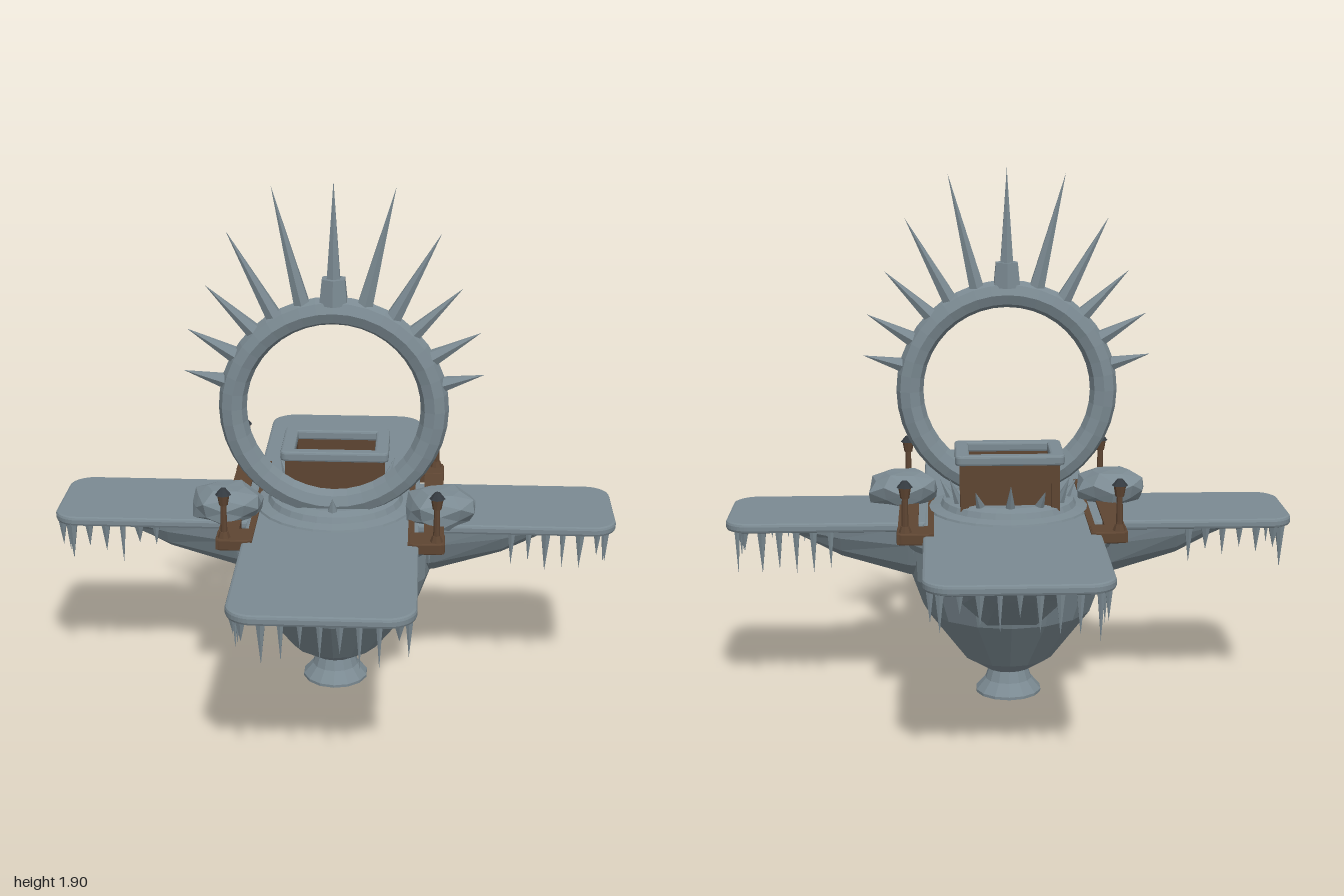
import * as THREE from 'three';

const stone = new THREE.MeshStandardMaterial({ color: 0x7b8a92, flatShading: true, side: THREE.DoubleSide });
stone.name = 'stone';
const wood = new THREE.MeshStandardMaterial({ color: 0x5e4532, flatShading: true });
wood.name = 'wood';
const iron = new THREE.MeshStandardMaterial({ color: 0x343a40, flatShading: true });
iron.name = 'iron';

function add(parent, name, geometry, material, x = 0, y = 0, z = 0) {
  const mesh = new THREE.Mesh(geometry, material);
  mesh.name = name;
  mesh.position.set(x, y, z);
  parent.add(mesh);
  return mesh;
}

function roundedRect(w, d, r) {
  const s = new THREE.Shape();
  const x = w / 2, y = d / 2;
  s.moveTo(-x + r, -y);
  s.lineTo(x - r, -y).absarc(x - r, -y + r, r, -Math.PI / 2, 0);
  s.lineTo(x, y - r).absarc(x - r, y - r, r, 0, Math.PI / 2);
  s.lineTo(-x + r, y).absarc(-x + r, y - r, r, Math.PI / 2, Math.PI);
  s.lineTo(-x, -y + r).absarc(-x + r, -y + r, r, Math.PI, Math.PI * 1.5);
  return s;
}

// Horizontal slab with bevelled edges, optionally with a rectangular hole; base at y = 0
function slab(w, d, h, r, bevel, hole) {
  const s = roundedRect(w - 2 * bevel, d - 2 * bevel, r);
  if (hole) s.holes.push(roundedRect(hole[0] + 2 * bevel, hole[1] + 2 * bevel, 0.005));
  const g = new THREE.ExtrudeGeometry(s, {
    depth: h - 2 * bevel, bevelEnabled: bevel > 0, bevelSize: bevel,
    bevelThickness: bevel, bevelSegments: 2, curveSegments: 5
  });
  return g.translate(0, 0, bevel).rotateX(-Math.PI / 2);
}

// Cone standing from point a to tip b
function spike(parent, name, a, b, radius, sides) {
  const dir = b.clone().sub(a), len = dir.length();
  const g = new THREE.ConeGeometry(radius, len, sides).translate(0, len / 2, 0);
  const m = add(parent, name, g, stone, a.x, a.y, a.z);
  m.quaternion.setFromUnitVectors(new THREE.Vector3(0, 1, 0), dir.normalize());
}

// Keel under an arm: sections [distance, halfWidth, depth] running out along +z
function keelGeometry(sections) {
  const outline = [[-1, 0], [-0.93, 0.35], [-0.72, 0.75], [-0.36, 1], [0.36, 1], [0.72, 0.75], [0.93, 0.35], [1, 0]];
  const n = outline.length, pos = [], index = [];
  for (const [d, w, h] of sections)
    for (const [u, v] of outline) pos.push(u * w, 0.665 - v * h, d);
  for (let i = 0; i < sections.length - 1; i++)
    for (let j = 0; j < n - 1; j++) {
      const a = i * n + j, b = a + n;
      index.push(a, a + 1, b, a + 1, b + 1, b);
    }
  const g = new THREE.BufferGeometry();
  g.setAttribute('position', new THREE.Float32BufferAttribute(pos, 3));
  g.setIndex(index);
  const flat = g.toNonIndexed();
  flat.computeVertexNormals();
  return flat;
}

function lathe(points, sides) {
  return new THREE.LatheGeometry(points.map(p => new THREE.Vector2(...p)), sides);
}

export function createModel() {
  const model = new THREE.Group();
  model.name = 'floatingPlatform';
  let seed = 7;
  const rand = () => (seed = (seed * 16807) % 2147483647) / 2147483647;
  const V = (x, y, z) => new THREE.Vector3(x, y, z);

  // Faceted hull, its collar and the flared foot
  add(model, 'hull', lathe([[0.06, 0.09], [0.085, 0.095], [0.165, 0.145], [0.31, 0.335], [0.355, 0.46], [0.36, 0.6]], 16), stone);
  add(model, 'collar', lathe([[0.34, 0.575], [0.385, 0.585], [0.405, 0.615], [0.4, 0.645], [0.3, 0.665]], 24), stone);
  add(model, 'foot', lathe([[0.12, 0], [0.12, 0.01], [0.085, 0.05], [0.068, 0.1]], 14), stone);

  // Crossed deck plates
  add(model, 'sideDeck', slab(2, 0.41, 0.034, 0.075, 0.01), stone, 0, 0.66, -0.005);
  add(model, 'longDeck', slab(0.61, 1.93, 0.035, 0.085, 0.01), stone, 0, 0.66, 0);

  // Keels that brace the four arms
  const longKeel = keelGeometry([[0.15, 0.25, 0.33], [0.31, 0.24, 0.315], [0.5, 0.215, 0.22], [0.68, 0.17, 0.115], [0.84, 0.1, 0.004]]);
  const sideKeel = keelGeometry([[0.2, 0.17, 0.22], [0.36, 0.165, 0.2], [0.6, 0.145, 0.13], [0.73, 0.12, 0.065], [0.86, 0.08, 0.004]]);
  for (let i = 0; i < 4; i++)
    add(model, 'keel', i % 2 ? sideKeel : longKeel, stone).rotation.y = i * Math.PI / 2;

  // Icicles along the arm edges and under the collar
  const icicles = new THREE.Group();
  icicles.name = 'icicles';
  model.add(icicles);
  const icicle = (x, z, y, scale) => {
    const len = (0.06 + 0.11 * rand()) * scale;
    spike(icicles, 'icicle', V(x, y, z), V(x, y - len, z), 0.011 + 0.008 * rand(), 6);
  };
  for (const s of [-1, 1]) {
    for (let i = 0; i < 9; i++) icicle(-0.25 + i * 0.0625, s * (0.94 - 0.02 * rand()), 0.665, 1);
    for (let i = 0; i < 6; i++) icicle(s * (0.97 - 0.02 * rand()), -0.16 + i * 0.064, 0.665, 1);
    for (const t of [-1, 1])
      for (let i = 0; i < 6; i++) {
        icicle(t * 0.28, s * (0.88 - i * 0.062), 0.665, 1);
        icicle(s * (0.93 - i * 0.06), t * 0.18, 0.665, 1);
      }
  }
  for (let i = 0; i < 24; i++) {
    const a = (i + 0.5) * Math.PI / 12;
    icicle(0.37 * Math.cos(a), 0.37 * Math.sin(a), 0.6, 0.6);
  }

  // Round plinth in the middle of the deck
  add(model, 'plinth', lathe([[0.29, 0.69], [0.285, 0.702], [0.245, 0.71], [0.235, 0.73], [0.2, 0.74], [0.13, 0.74], [0.125, 0.73], [0, 0.73]], 28), stone);

  // Open box with a stone rim
  add(model, 'boxWalls', slab(0.34, 0.24, 0.17, 0.005, 0, [0.29, 0.19]), wood, 0, 0.72, -0.035);
  add(model, 'boxRim', slab(0.385, 0.275, 0.036, 0.015, 0.008, [0.285, 0.185]), stone, 0, 0.885, -0.035);
  for (const s of [-1, 1])
    for (const z of [-0.15, 0.08])
      add(model, 'boxPost', new THREE.BoxGeometry(0.03, 0.17, 0.03), wood, s * 0.16, 0.805, z);

  // Small tusks around the plinth
  for (let i = 0; i < 7; i++) {
    const a = Math.PI * (i / 6 + 1), c = Math.cos(a), s = Math.sin(a);
    spike(model, 'tusk', V(c * 0.2, 0.72, s * 0.18), V(c * 0.245, 0.8 + 0.03 * (i % 2), s * 0.235), 0.022, 6);
  }
  spike(model, 'tusk', V(0, 0.72, 0.19), V(0, 0.79, 0.21), 0.025, 6);

  // Upright ring crowned with spikes
  const ring = new THREE.Group();
  ring.name = 'ringWithSpikes';
  ring.position.set(0, 1.1, 0.133);
  model.add(ring);
  add(ring, 'ring', new THREE.TorusGeometry(0.352, 0.049, 8, 40), stone);
  const tips = [[0.21, 0.78], [0.365, 0.625], [0.44, 0.435], [0.505, 0.28], [0.52, 0.13]];
  const bases = [[0.105, 0.36], [0.2, 0.32], [0.265, 0.265], [0.335, 0.185], [0.36, 0.09]];
  for (const s of [-1, 1])
    tips.forEach(([x, y], i) => spike(ring, 'ringSpike', V(s * bases[i][0], bases[i][1], 0), V(s * x, y, 0), 0.031, 6));
  spike(ring, 'topSpike', V(0, 0.4, 0), V(0, 0.8, 0), 0.031, 6);
  add(ring, 'topBlock', new THREE.CylinderGeometry(0.045, 0.055, 0.09, 6), stone, 0, 0.42, 0);

  for (const s of [-1, 1]) {
    // Boulder beside the ring
    const rock = new THREE.IcosahedronGeometry(1, 1);
    const p = rock.attributes.position;
    for (let i = 0; i < p.count; i++) {
      const x = p.getX(i), y = p.getY(i), z = p.getZ(i);
      const k = 1 + 0.1 * Math.sin(5 * x + 3 * y + 4 * z);
      p.setXYZ(i, Math.max(-0.92, Math.min(0.95, x * k)), Math.max(-1, Math.min(0.8, y * k)), z * k);
    }
    rock.scale(0.135, 0.08, 0.11);
    rock.computeVertexNormals();
    add(model, 'boulder', rock, stone, s * 0.38, 0.735, 0.125);

    // Slotted side rail with end blocks
    add(model, 'railOuter', new THREE.BoxGeometry(0.07, 0.034, 0.78), wood, s * 0.357, 0.684, 0);
    add(model, 'railInner', new THREE.BoxGeometry(0.022, 0.034, 0.78), wood, s * 0.278, 0.684, 0);
    for (const t of [-1, 1]) {
      add(model, 'railEnd', slab(0.125, 0.11, 0.04, 0.015, 0.005), wood, s * 0.332, 0.663, t * 0.337);

      // Lamp post
      const lamp = new THREE.Group();
      lamp.name = 'lampPost';
      lamp.position.set(s * 0.365, 0.7, t * 0.362);
      model.add(lamp);
      add(lamp, 'lampBase', new THREE.CylinderGeometry(0.015, 0.024, 0.025, 8), wood, 0, 0.012, 0);
      add(lamp, 'post', new THREE.CylinderGeometry(0.01, 0.012, 0.12, 8), wood, 0, 0.07, 0);
      add(lamp, 'lampHead', new THREE.CylinderGeometry(0.022, 0.015, 0.04, 8), wood, 0, 0.142, 0);
      add(lamp, 'lampCap', new THREE.CylinderGeometry(0.01, 0.028, 0.022, 8), iron, 0, 0.171, 0);
    }
  }
  return model;
}
